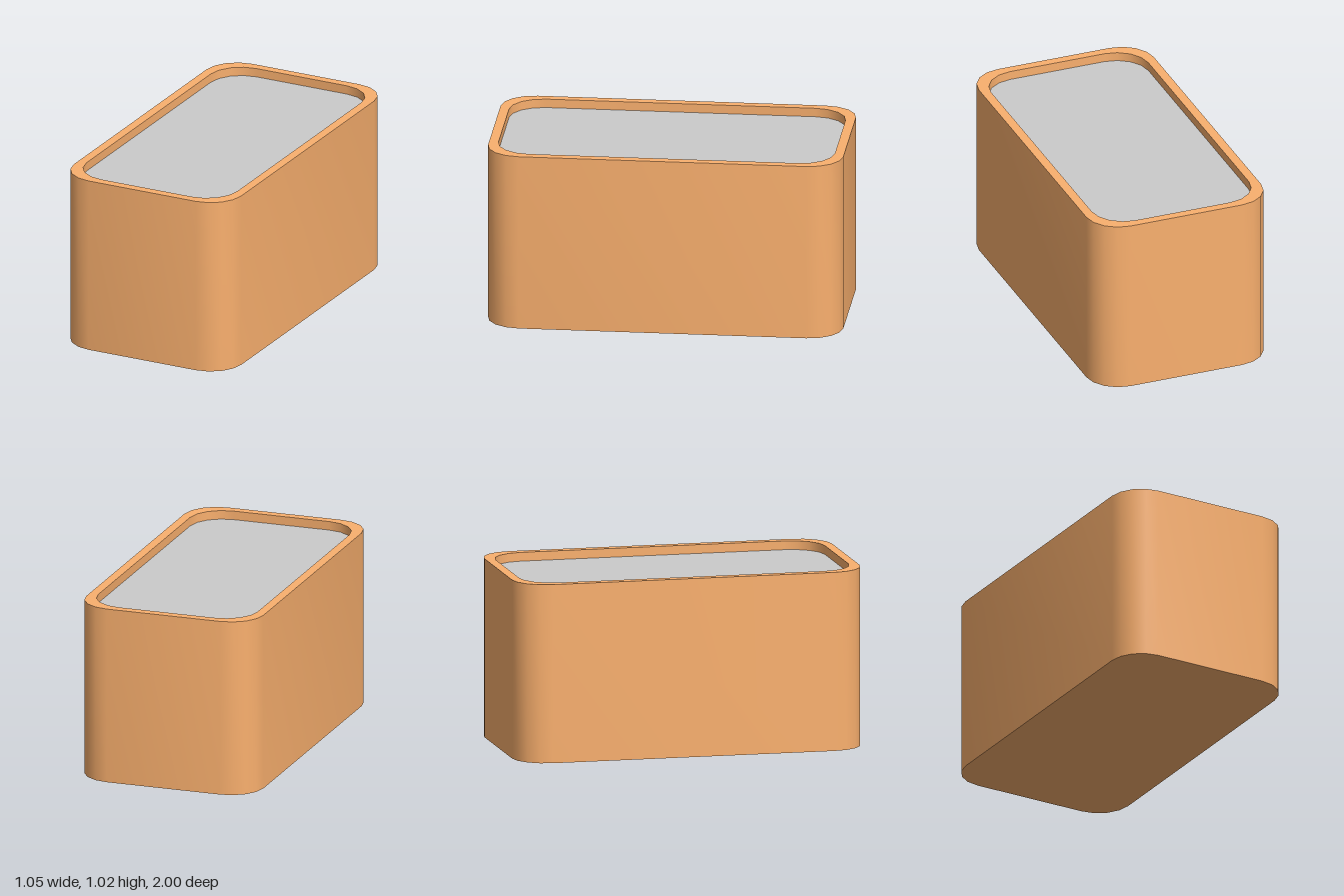
import * as THREE from 'three';
import { toCreasedNormals } from 'three/addons/utils/BufferGeometryUtils.js';

const HALF_W = 0.527, HALF_D = 1, HEIGHT = 1.017;
const WALL = 0.053, RADIUS = 0.19, CORNER_STEPS = 4;
const FILL_Y = HEIGHT - 0.05;

// Rounded rectangle in the ground plane, inset from the outer size
function outline(inset) {
  const cx = HALF_W - inset - RADIUS, cz = HALF_D - inset - RADIUS;
  const signs = [[1, 1], [-1, 1], [-1, -1], [1, -1]];
  return signs.flatMap(([sx, sz], corner) =>
    Array.from({ length: CORNER_STEPS + 1 }, (_, i) => {
      const a = (corner + i / CORNER_STEPS) * Math.PI / 2;
      return [sx * cx + RADIUS * Math.cos(a), sz * cz + RADIUS * Math.sin(a)];
    }));
}

// Skin a stack of rings { inset, y }; a ring without inset is a centre point
function skin(rings) {
  const n = outline(0).length;
  const loops = rings.map(({ inset, y }) => inset === undefined
    ? Array(n).fill([0, y, 0])
    : outline(inset).map(([x, z]) => [x, y, z]));
  const positions = [];
  for (let r = 0; r < loops.length - 1; r++) {
    for (let i = 0; i < n; i++) {
      const j = (i + 1) % n;
      const a = loops[r][i], b = loops[r + 1][i], c = loops[r + 1][j], d = loops[r][j];
      if (b !== c) positions.push(...a, ...b, ...c);
      if (a !== d) positions.push(...a, ...c, ...d);
    }
  }
  const geometry = new THREE.BufferGeometry();
  geometry.setAttribute('position', new THREE.Float32BufferAttribute(positions, 3));
  return toCreasedNormals(geometry, Math.PI / 5);
}

export function createModel() {
  const group = new THREE.Group();
  group.name = 'planterBox';

  // Hollow tub: underside, outer wall, rim, inner wall, inner floor
  const tub = new THREE.Mesh(
    skin([
      { y: 0 },
      { inset: 0, y: 0 },
      { inset: 0, y: HEIGHT },
      { inset: WALL, y: HEIGHT },
      { inset: WALL, y: WALL },
      { y: WALL },
    ]),
    new THREE.MeshStandardMaterial({ color: 0xfab06e }));
  tub.name = 'tub';
  group.add(tub);

  // Flat fill just below the rim
  const shape = new THREE.Shape(outline(WALL).map(([x, z]) => new THREE.Vector2(x, z)));
  const fill = new THREE.Mesh(
    new THREE.ShapeGeometry(shape).rotateX(-Math.PI / 2),
    new THREE.MeshStandardMaterial({ color: 0xcccccc, side: THREE.DoubleSide }));
  fill.name = 'fill';
  fill.position.y = FILL_Y;
  group.add(fill);

  return group;
}
